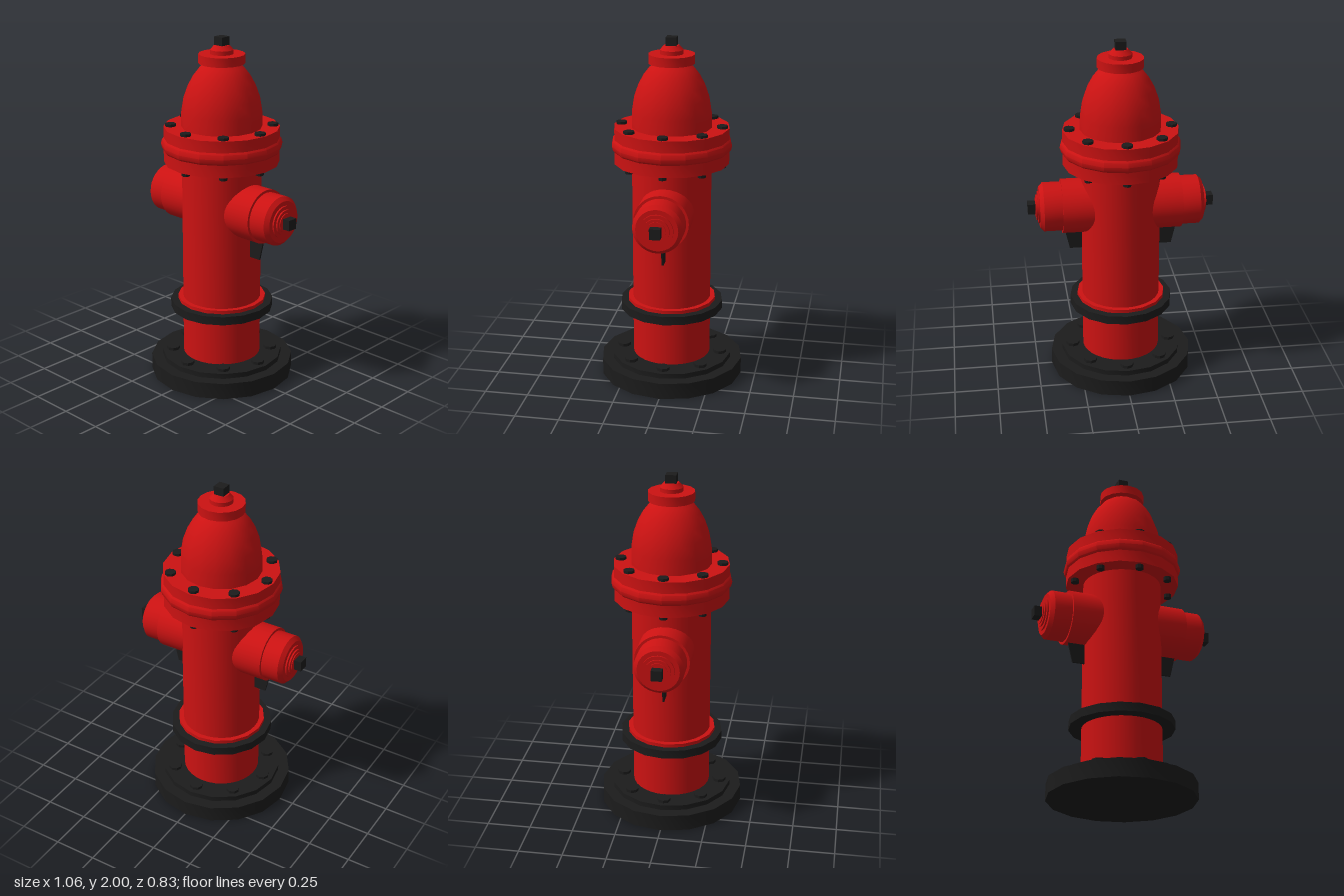
import * as THREE from 'three';
import { toCreasedNormals } from 'three/addons/utils/BufferGeometryUtils.js';

const red = new THREE.MeshStandardMaterial({ color: 0xcc1212 });
const black = new THREE.MeshStandardMaterial({ color: 0x1c1c1c });

export function createModel() {
  const model = new THREE.Group();
  model.name = 'fireHydrant';

  const add = (parent, name, geometry, material, x = 0, y = 0, z = 0) => {
    const mesh = new THREE.Mesh(geometry, material);
    mesh.name = name;
    mesh.position.set(x, y, z);
    parent.add(mesh);
    return mesh;
  };

  // Turned part from [radius, height] pairs, smooth around and sharp at the rims
  const turned = (profile, sides = 16) => toCreasedNormals(
    new THREE.LatheGeometry(profile.map(([r, y]) => new THREE.Vector2(r, y)), sides), 0.55);

  // Ring of eight bolt heads between two heights
  const boltRing = (name, ringRadius, boltRadius, y0, y1) => {
    const ring = new THREE.Group();
    ring.name = name;
    const geometry = toCreasedNormals(
      new THREE.CylinderGeometry(boltRadius, boltRadius, y1 - y0, 8), 0.5);
    for (let i = 0; i < 8; i++) {
      const a = i * Math.PI / 4;
      add(ring, 'bolt', geometry, black,
        ringRadius * Math.sin(a), (y0 + y1) / 2, ringRadius * Math.cos(a));
    }
    model.add(ring);
  };

  // Stepped foot
  add(model, 'base', turned([
    [0, 0], [0.415, 0], [0.415, 0.095], [0.35, 0.095], [0.35, 0.125], [0, 0.125],
  ]), black);
  boltRing('baseBolts', 0.287, 0.038, 0.115, 0.142);

  // Barrel and the break collar around it
  add(model, 'barrel', turned([[0.225, 0.12], [0.225, 1.3]], 32), red);
  add(model, 'lowerCollar', turned([
    [0.22, 0.405], [0.297, 0.405], [0.297, 0.455], [0.22, 0.455],
  ]), black);
  add(model, 'upperCollar', turned([
    [0.22, 0.45], [0.255, 0.45], [0.255, 0.475], [0.22, 0.475],
  ]), red);

  // Bonnet flange with a rounded bead
  add(model, 'flange', turned([
    [0.2, 1.29], [0.327, 1.29], [0.327, 1.36], [0.336, 1.37], [0.342, 1.395],
    [0.336, 1.42], [0.327, 1.43], [0.327, 1.495], [0.2, 1.495],
  ]), red);
  boltRing('flangeBolts', 0.287, 0.031, 1.48, 1.51);
  boltRing('flangeNuts', 0.287, 0.023, 1.267, 1.3);

  // Domed bonnet, cap and operating nut
  add(model, 'dome', turned([
    [0.228, 1.49], [0.226, 1.58], [0.213, 1.66], [0.188, 1.73],
    [0.158, 1.785], [0.123, 1.83], [0.08, 1.86],
  ]), red);
  add(model, 'cap', turned([
    [0, 1.853], [0.13, 1.853], [0.13, 1.905], [0.065, 1.905],
    [0.065, 1.928], [0.042, 1.953], [0, 1.953],
  ]), red);
  add(model, 'operatingNut', new THREE.BoxGeometry(0.06, 0.06, 0.06), black, 0, 1.97);

  // Side outlets, turned about the x axis
  const outletGeometry = turned([
    [0.155, 0.05], [0.155, 0.34], [0.14, 0.34], [0.14, 0.443], [0.118, 0.465],
    [0.092, 0.465], [0.092, 0.474], [0.072, 0.474], [0.072, 0.483],
    [0.055, 0.483], [0.055, 0.488], [0, 0.488],
  ], 32);

  // Thin web bracing the underside of each outlet
  const web = new THREE.Shape([
    [0.2, 0.92], [0.33, 0.92], [0.295, 0.768], [0.2, 0.768],
  ].map(([x, y]) => new THREE.Vector2(x, y)));
  const webGeometry = new THREE.ExtrudeGeometry(web, { depth: 0.01, bevelEnabled: false });
  webGeometry.translate(0, 0, -0.005);

  for (const side of [1, -1]) {
    const outlet = new THREE.Group();
    outlet.name = side > 0 ? 'leftOutlet' : 'rightOutlet';
    outlet.rotation.y = side > 0 ? 0 : Math.PI;
    add(outlet, 'outletBody', outletGeometry, red, 0, 1.037).rotation.z = -Math.PI / 2;
    add(outlet, 'outletNut', new THREE.BoxGeometry(0.06, 0.06, 0.06), black, 0.501, 1.037);
    add(outlet, 'outletWeb', webGeometry, black);
    model.add(outlet);
  }

  return model;
}
